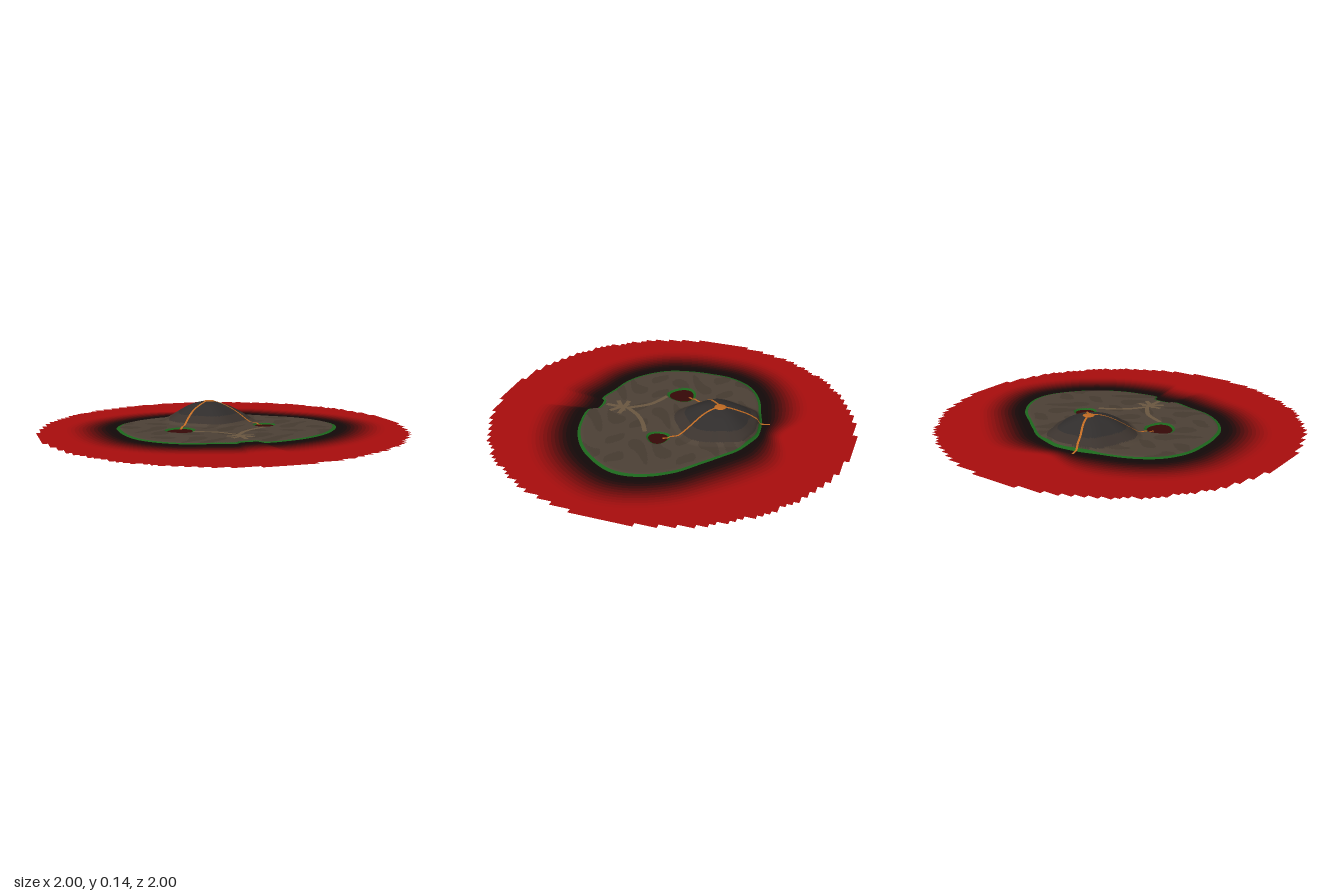
import * as THREE from 'three';

const SEA = 0.03, COLS = 360, ROWS = 64;
const PEAK = [-0.01, -0.26];
const PONDS = [[-0.25, 0.025, 0.083], [0.24, -0.005, 0.063]]; // x, z, radius

// Coastline, seen from above as x, z
const COAST = [
  [0.63, 0.03], [0.62, 0.12], [0.56, 0.23], [0.46, 0.34], [0.33, 0.42], [0.2, 0.46], [0.07, 0.47],
  [0.05, 0.43], [-0.05, 0.43], [-0.07, 0.45], [-0.2, 0.42], [-0.32, 0.39], [-0.43, 0.32], [-0.52, 0.21],
  [-0.56, 0.08], [-0.57, -0.05], [-0.56, -0.18], [-0.5, -0.3], [-0.42, -0.37], [-0.32, -0.42],
  [-0.2, -0.455], [-0.1, -0.485], [0, -0.5], [0.05, -0.5], [0.12, -0.48], [0.22, -0.44], [0.3, -0.38],
  [0.4, -0.3], [0.52, -0.2], [0.6, -0.08],
];
const shore = new THREE.CatmullRomCurve3(COAST.map(([x, z]) => new THREE.Vector3(x, 0, z)), true)
  .getSpacedPoints(COLS).slice(0, COLS)
  .map(p => ({ a: Math.atan2(p.z, p.x), r: Math.hypot(p.x, p.z) }));

const { clamp, smoothstep } = THREE.MathUtils;
const mat = color => new THREE.MeshStandardMaterial({ color, side: THREE.DoubleSide });

function mesh(name, geometry, color) {
  const m = new THREE.Mesh(geometry, mat(color));
  m.name = name;
  return m;
}

function shoreRadius(x, z) {
  const a = Math.atan2(z, x);
  let best = 9, r = 0;
  for (const s of shore) {
    const d = Math.abs(Math.atan2(Math.sin(a - s.a), Math.cos(a - s.a)));
    if (d < best) { best = d; r = s.r; }
  }
  return r;
}

// Distance to a pond centre, 1 at its rim, slightly wobbly
function pondDistance(x, z) {
  return Math.min(...PONDS.map(([px, pz, pr]) => {
    const a = Math.atan2(z - pz, x - px);
    return Math.hypot(x - px, z - pz) / (pr * (1 + 0.06 * Math.sin(3 * a + px * 9)));
  }));
}

// Ground height; off is the distance outside the coast
function height(x, z, off = Math.hypot(x, z) - shoreRadius(x, z)) {
  if (off > 0) return SEA - 0.023 * Math.min(1, off / 0.14);
  const a = Math.atan2(z - PEAK[1], x - PEAK[0]);
  const d = Math.hypot(x - PEAK[0], z - PEAK[1]) / (0.26 + 0.012 * Math.sin(5 * a));
  const hill = d < 1 ? 0.108 * Math.pow(1 - d * d, 1.3) : 0;
  const dip = 0.032 * clamp((1 - pondDistance(x, z)) / 0.8, 0, 1);
  return SEA + (0.007 + hill) * smoothstep(-off, 0, 0.03) - dip;
}

// Closed rings of points joined into a surface
function ringIndex(row, col) {
  const a = row * COLS + col, b = row * COLS + (col + 1) % COLS;
  return [a, b, a + COLS, b, b + COLS, a + COLS];
}

// Island surface, split into parts by where each face lies
function buildIsland() {
  const pos = [], offs = [];
  for (let i = 0; i <= ROWS + 5; i++) {
    for (const s of shore) {
      const off = i <= ROWS ? s.r * (i / ROWS - 1) : (i - ROWS) * 0.028;
      const r = s.r + off, x = r * Math.cos(s.a), z = r * Math.sin(s.a);
      pos.push(x, height(x, z, off), z);
      offs.push(off);
    }
  }
  const parts = {
    plateau: [0x4d4136, []], plateauPatches: [0x463b31, []], lowerSlope: [0x3b332e, []],
    mountainTop: [0x302d2c, []], grassEdge: [0x1c661c, []], pondBed: [0x352b24, []], seabedSkirt: [0x2b2c2c, []],
  };
  const pick = (x, y, z, off) => {
    const p = pondDistance(x, z);
    if (off > 0) return 'seabedSkirt';
    if (off > -0.017 || (p > 0.77 && p < 1)) return 'grassEdge';
    if (p <= 0.77) return 'pondBed';
    if (y > 0.085) return 'mountainTop';
    if (y > 0.05) return 'lowerSlope';
    return Math.sin(x * 26 + 2 * Math.sin(z * 17)) * Math.sin(z * 24 + x * 9) > 0.25 ? 'plateauPatches' : 'plateau';
  };
  const all = [];
  for (let i = 0; i < ROWS + 5; i++) {
    for (let j = 0; j < COLS; j++) {
      const q = ringIndex(i, j);
      all.push(...q);
      for (const tri of [q.slice(0, 3), q.slice(3)]) {
        const mid = k => tri.reduce((t, v) => t + pos[v * 3 + k], 0) / 3;
        const off = tri.reduce((t, v) => t + offs[v], 0) / 3;
        parts[pick(mid(0), mid(1), mid(2), off)][1].push(...tri);
      }
    }
  }
  const whole = new THREE.BufferGeometry();
  whole.setAttribute('position', new THREE.Float32BufferAttribute(pos, 3));
  whole.setIndex(all);
  whole.computeVertexNormals();
  const island = new THREE.Group();
  island.name = 'island';
  for (const [name, [color, index]] of Object.entries(parts)) {
    const g = new THREE.BufferGeometry();
    g.setAttribute('position', whole.attributes.position);
    g.setAttribute('normal', whole.attributes.normal);
    g.setIndex(index);
    island.add(mesh(name, g, color));
  }
  return island;
}

// Sea: dark bands fading to red, then a flat sheet with a stepped round edge
function buildSea() {
  const sea = new THREE.Group(), BANDS = 14;
  sea.name = 'sea';
  const fade = (s, f) => {
    const x = s.r * Math.cos(s.a), back = Math.sin(s.a) < 0 ? Math.exp(-((x / 0.13) ** 2)) : 0;
    const r = s.r + f * 0.29 * (1 - 0.55 * back);
    return [r * Math.cos(s.a), r * Math.sin(s.a)];
  };
  const dark = new THREE.Color(0x120808), red = new THREE.Color(0xaa0d0d);
  for (let k = 0; k < BANDS; k++) {
    const pos = [], index = [];
    for (const f of [k / BANDS, (k + 1) / BANDS])
      for (const s of shore) { const [x, z] = fade(s, f); pos.push(x, SEA, z); }
    for (let j = 0; j < COLS; j++) index.push(...ringIndex(0, j));
    const g = new THREE.BufferGeometry();
    g.setAttribute('position', new THREE.Float32BufferAttribute(pos, 3));
    g.setIndex(index);
    g.computeVertexNormals();
    const c = dark.clone().lerp(red, Math.pow(smoothstep((k + 0.5) / BANDS, 0.1, 1), 1.3));
    sea.add(mesh('shoreWaterBand', g, c));
  }
  const N = 74, h = 2 / N, right = [], left = [];
  for (let i = 0; i < N; i++) {
    const y0 = -1 + i * h, y = y0 + h * (i < N / 2 ? 0.33 : 0.67);
    const w = Math.round(Math.sqrt(1 - y * y) / h) * h;
    right.push(new THREE.Vector2(w, y0), new THREE.Vector2(w, y0 + h));
    left.unshift(new THREE.Vector2(-w, y0 + h), new THREE.Vector2(-w, y0));
  }
  const sheet = new THREE.Shape([...right, ...left]);
  sheet.holes.push(new THREE.Path(shore.map(s => { const [x, z] = fade(s, 1); return new THREE.Vector2(x, -z); })));
  const open = mesh('openWater', new THREE.ShapeGeometry(sheet).rotateX(-Math.PI / 2), red);
  open.position.y = SEA;
  sea.add(open);
  return sea;
}

// Flat strip laid over the ground along a path of x, z points
function ribbon(name, points, width, color) {
  const curve = new THREE.CatmullRomCurve3(points.map(([x, z]) => new THREE.Vector3(x, 0, z)));
  const n = 50, pos = [], index = [];
  for (let i = 0; i <= n; i++) {
    const p = curve.getPointAt(i / n), t = curve.getTangentAt(i / n);
    for (const s of [1, -1]) {
      const x = p.x + s * t.z * width / 2, z = p.z - s * t.x * width / 2;
      pos.push(x, Math.max(height(x, z), SEA) + 0.0025, z);
    }
    if (i < n) { const a = i * 2; index.push(a, a + 1, a + 2, a + 1, a + 3, a + 2); }
  }
  const g = new THREE.BufferGeometry();
  g.setAttribute('position', new THREE.Float32BufferAttribute(pos, 3));
  g.setIndex(index.reverse());
  g.computeVertexNormals();
  return mesh(name, g, color);
}

export function createModel() {
  const model = new THREE.Group();
  model.name = 'volcanicIsland';
  model.add(buildIsland(), buildSea());

  // Pond water
  for (const [x, z, r] of PONDS) {
    const pond = mesh('pondWater', new THREE.CircleGeometry(r * 0.92, 32).rotateX(-Math.PI / 2), 0x360807);
    pond.position.set(x, SEA, z);
    model.add(pond);
  }

  // Lava streams and the vent they leave from
  const LAVA = 0xbf6a22, vent = [0, -0.275];
  model.add(
    ribbon('lavaStream', [vent, [-0.06, -0.22], [-0.13, -0.17], [-0.2, -0.09], [-0.24, -0.02]], 0.012, LAVA),
    ribbon('lavaStream', [vent, [0.07, -0.21], [0.14, -0.155], [0.2, -0.09], [0.235, -0.03]], 0.012, LAVA),
    ribbon('lavaStream', [vent, [-0.03, -0.36], [-0.065, -0.43], [-0.095, -0.53]], 0.012, LAVA));
  const pool = mesh('lavaVent', new THREE.SphereGeometry(0.032, 20, 8, 0, Math.PI * 2, 0, Math.PI / 2), LAVA);
  pool.scale.y = 0.15;
  pool.position.set(vent[0], height(...vent) - 0.001, vent[1]);
  model.add(pool);

  // Footpaths and the small plaza where they meet
  const PATH = 0x6b5841;
  const paths = [
    [[-0.2, 0.1], [-0.13, 0.13], [-0.08, 0.16], [0, 0.26]], [[0.21, 0.08], [0.12, 0.13], [0.06, 0.18], [0, 0.26]],
    [[0, 0.25], [0, 0.39]], [[-0.075, 0.285], [0.075, 0.285]],
    [[-0.06, 0.345], [0.04, 0.27]], [[0.06, 0.345], [-0.04, 0.27]],
  ];
  for (const p of paths) model.add(ribbon('footpath', p, 0.024, PATH));
  return model;
}
